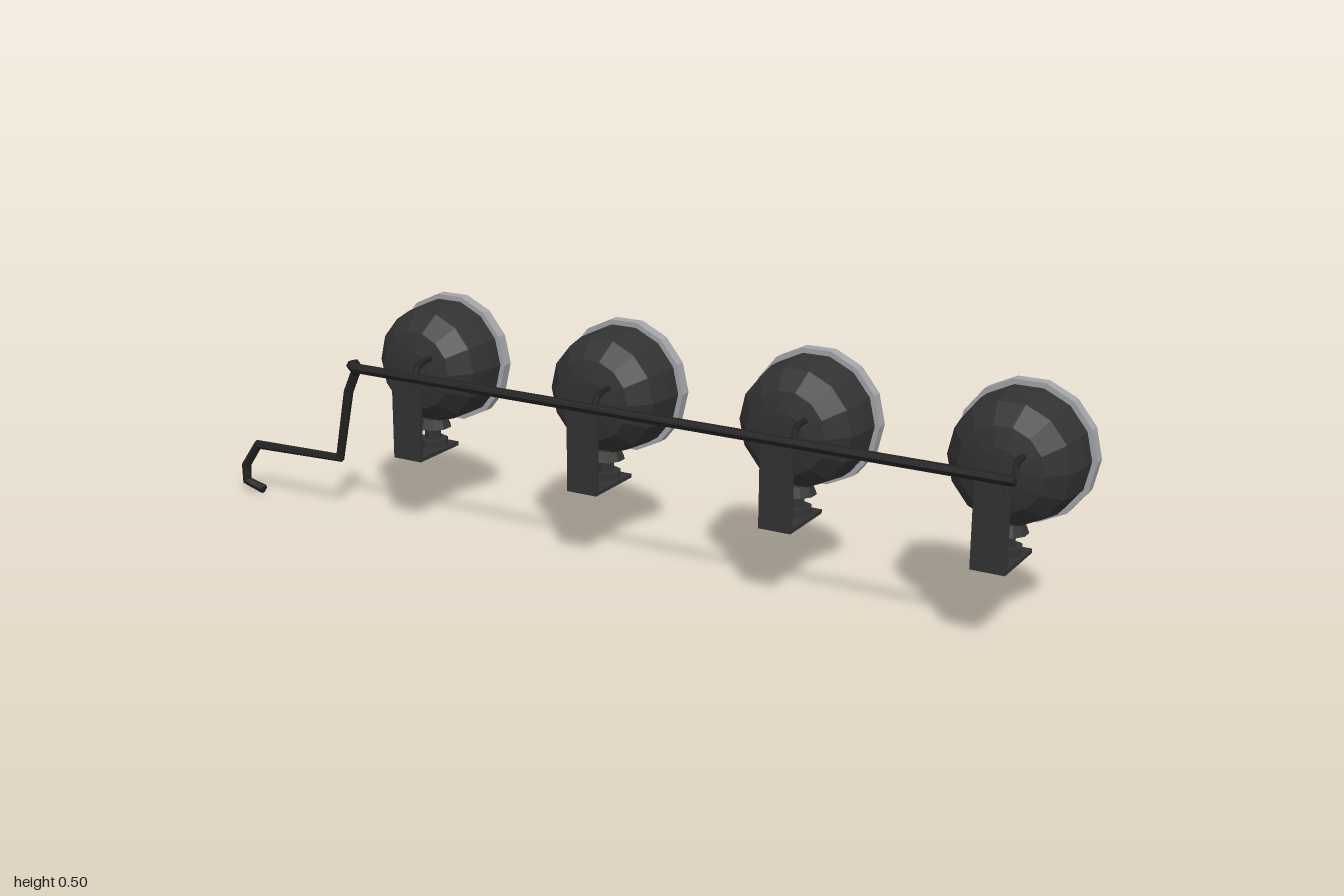
import * as THREE from 'three';

const mat = (name, color, side = THREE.FrontSide) =>
  new THREE.MeshStandardMaterial({ name, color, side, flatShading: true });

// Polyline curve sampled exactly at its corners, for bent rods
class BentPath extends THREE.Curve {
  constructor(points) {
    super();
    this.points = points.map(p => new THREE.Vector3(...p));
  }
  getPointAt(u, target = new THREE.Vector3()) {
    return target.copy(this.points[Math.round(u * (this.points.length - 1))]);
  }
  getTangentAt(u, target = new THREE.Vector3()) {
    const p = this.points, i = Math.round(u * (p.length - 1));
    target.set(0, 0, 0);
    if (i > 0) target.add(p[i].clone().sub(p[i - 1]).normalize());
    if (i < p.length - 1) target.add(p[i + 1].clone().sub(p[i]).normalize());
    return target.normalize();
  }
}

export function createModel() {
  const black = mat('black housing', 0x323232);
  const rodBlack = mat('black rod', 0x222222);
  const chrome = mat('grey rim', 0xa2a4a8);
  const glass = mat('lens grey', 0x97999c);
  const model = new THREE.Group();
  model.name = 'lampBar';

  const add = (parent, name, geometry, material, x = 0, y = 0, z = 0) => {
    const mesh = new THREE.Mesh(geometry, material);
    mesh.name = name;
    mesh.position.set(x, y, z);
    parent.add(mesh);
    return mesh;
  };

  // Lathe profile given as [radius, z], running from the +z end to the -z end
  const turned = profile => new THREE.LatheGeometry(
    profile.map(([r, z]) => new THREE.Vector2(r, -z)), 14, Math.PI / 2
  ).rotateX(-Math.PI / 2);

  const rod = (parent, name, points, radius) => {
    const path = new BentPath(points), p = path.points;
    add(parent, name, new THREE.TubeGeometry(path, p.length - 1, radius, 6), rodBlack);
    [[0, 1], [p.length - 1, p.length - 2]].forEach(([end, inner]) => {
      const cap = add(parent, name + 'Cap', new THREE.CircleGeometry(radius, 6), rodBlack, ...p[end].toArray());
      cap.lookAt(p[end].clone().multiplyScalar(2).sub(p[inner]));
    });
  };

  const shell = turned([[0, 0.052], [0.045, 0.049], [0.088, 0.038], [0.125, -0.005], [0.134, -0.06], [0.134, -0.1]]);
  const rim = turned([[0.132, -0.097], [0.145, -0.097], [0.145, -0.122], [0.122, -0.122], [0.118, -0.117]]);
  const lens = turned([[0.119, -0.117], [0.112, -0.123], [0.068, -0.134], [0.03, -0.139], [0, -0.14]]);

  for (const x of [-0.505, -0.053, 0.4, 0.852]) {
    const lamp = new THREE.Group();
    lamp.name = 'lamp';
    lamp.position.x = x;
    model.add(lamp);

    add(lamp, 'housing', shell, black, 0, 0.358, 0);
    add(lamp, 'rim', rim, chrome, 0, 0.358, 0);
    add(lamp, 'lens', lens, glass, 0, 0.358, 0);

    // L-shaped bracket with a clamp block
    add(lamp, 'bracketBack', new THREE.BoxGeometry(0.072, 0.2, 0.01), black, 0, 0.263, 0.073);
    add(lamp, 'bracketFoot', new THREE.BoxGeometry(0.072, 0.009, 0.146), black, 0, 0.1675, 0.005);
    add(lamp, 'clampBlock', new THREE.BoxGeometry(0.055, 0.023, 0.019), black, 0, 0.339, 0.087);

    // Swivel mount under the housing
    add(lamp, 'mountNut', new THREE.CylinderGeometry(0.033, 0.033, 0.017, 8), black, 0, 0.18, -0.021);
    add(lamp, 'mountStem', new THREE.CylinderGeometry(0.018, 0.018, 0.032, 8), black, 0, 0.202, -0.021);
    add(lamp, 'mountCup', new THREE.CylinderGeometry(0.033, 0.042, 0.022, 10), black, 0, 0.227, -0.021);

    // Short cable from the housing to the rail
    rod(lamp, 'cable', [
      [0.045, 0.393, 0.03], [0.046, 0.393, 0.075], [0.053, 0.388, 0.105], [0.063, 0.372, 0.13],
    ], 0.007);
  }

  // Long rail that bends down to a hooked end
  rod(model, 'rail', [
    [0.915, 0.372, 0.128], [-0.605, 0.372, 0.128], [-0.62, 0.373, 0.118],
    [-0.638, 0.365, 0.08], [-0.655, 0.337, 0.06], [-0.678, 0.29, 0.057],
    [-0.71, 0.128, 0.057], [-0.95, 0.121, 0.057], [-0.989, 0.065, 0.057],
    [-0.989, 0.026, 0.057], [-0.94, 0.013, 0.057],
  ], 0.011);

  return model;
}
